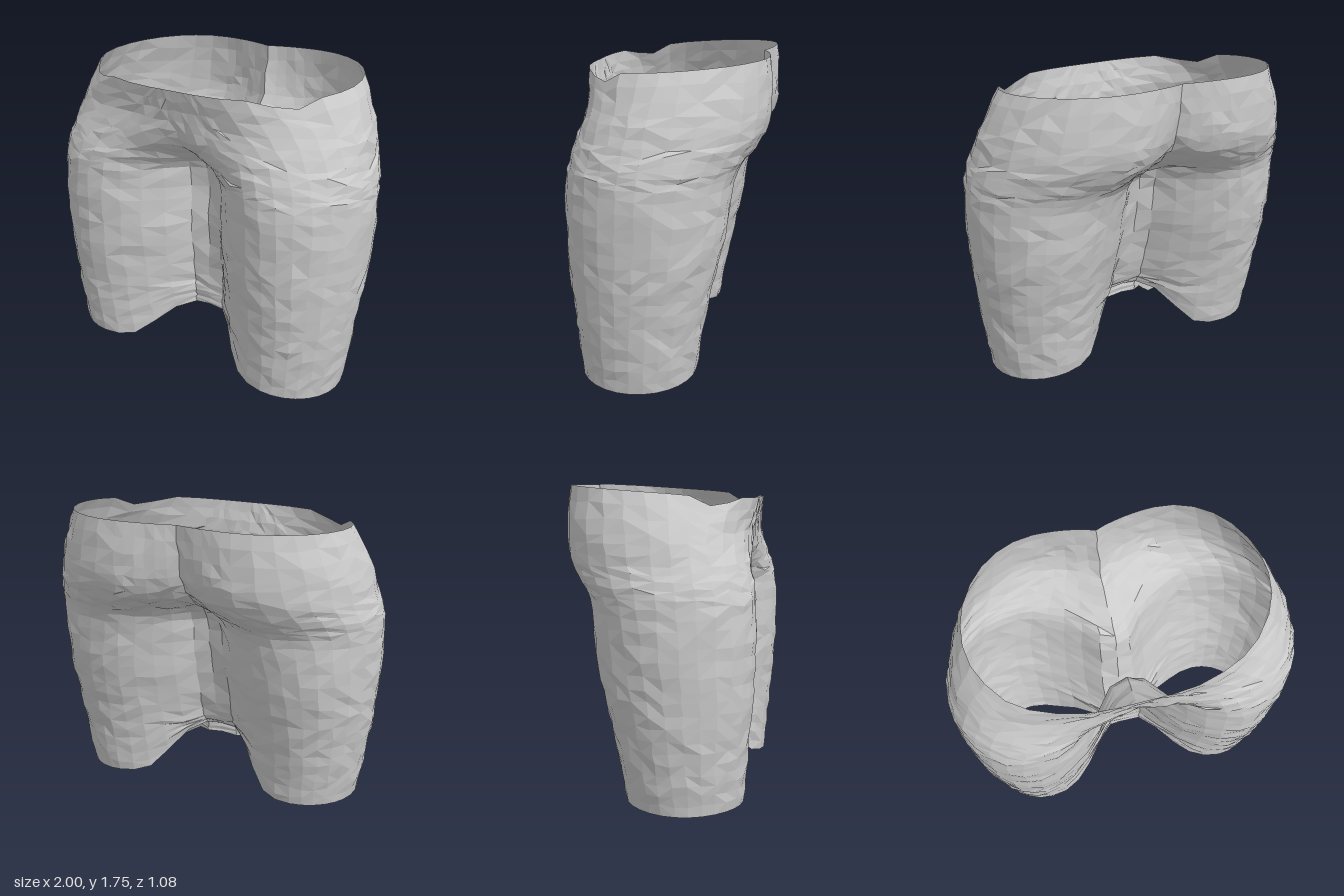
import * as THREE from 'three';

// Per height: y, outer x, outer z, then thigh apex x, apex z and centre z for the front and the back, and web width share
const levels = [
  [0, .88, .15, .57, .47, .15, .57, -.17, .13, .24],
  [.4, .94, .13, .6, .5, .15, .58, -.23, .09, .2],
  [.8, .985, .1, .6, .53, .15, .57, -.32, -.01, .14],
  [1.15, .995, .08, .58, .525, .16, .5, -.375, -.1, .14],
  [1.24, .985, .07, .55, .51, .24, .44, -.435, -.24, .1],
  [1.35, .95, .05, .5, .48, .4, .36, -.515, -.37, .03],
  [1.5, .91, .03, .3, .455, .455, .34, -.54, -.44, 0],
  [1.71, .81, -.02, .15, .485, .485, .33, -.525, -.47, 0],
];
const rowsBetween = [6, 6, 5, 3, 3, 3, 3];
const INNER = 6, OUTER = 7;
const { smoothstep, clamp } = THREE.MathUtils;

// Quarter outline: a rounded wall from the web to the apex, then an elliptic arc to the outer side
function quarter(outerX, outerZ, apexX, apexZ, centreZ, web) {
  const points = [];
  for (let i = 0; i < INNER; i++) {
    const s = i / INNER;
    const u = clamp((s - web) / (1 - web), 0, 1);
    points.push([apexX * s, centreZ + (apexZ - centreZ) * Math.sin(u * Math.PI / 2) ** 0.8]);
  }
  for (let i = 0; i <= OUTER; i++) {
    const a = (i / OUTER) * Math.PI / 2;
    points.push([apexX + (outerX - apexX) * Math.sin(a), outerZ + (apexZ - outerZ) * Math.cos(a)]);
  }
  return points;
}

// Closed ring, mirrored to the right side
function makeRing([y, outerX, outerZ, fx, fz, fc, bx, bz, bc, web], k) {
  const front = quarter(outerX, outerZ, fx, fz, fc, web);
  const back = quarter(outerX, outerZ, bx, bz, bc, web).reverse().slice(1);
  const left = front.concat(back).map(([x, z], i) => {
    const isFront = i < front.length;
    let h = y;
    // Hem arches up between the legs
    if (k === 0) h = (outerX - x) * 0.1 + (isFront ? 0.18 : 0.25) * (1 - smoothstep(x, 0.12, 0.43));
    // Waist rises to the back and has a notch above each thigh
    if (k === levels.length - 1) {
      h -= z * 0.07;
      if (isFront) h -= 0.07 * Math.max(0, 1 - Math.abs(x - 0.63) / 0.12);
    }
    return new THREE.Vector3(x, h, z);
  });
  // The right leg ends slightly higher
  const lift = k === 0 ? 0.05 : 0;
  const right = left.slice(1, -1).reverse()
    .map(p => new THREE.Vector3(-p.x, p.y + lift * smoothstep(p.x, 0.3, 0.9), p.z));
  return left.concat(right);
}

function seeded(seed) {
  return () => {
    seed = (seed * 16807) % 2147483647;
    return seed / 2147483647 - 0.5;
  };
}

// Loft through the rings, with slightly irregular facets
function loftBody() {
  const rings = levels.map(makeRing);
  const cols = rings[0].length;
  const columns = rings[0].map((_, i) => new THREE.CatmullRomCurve3(rings.map(r => r[i])));
  const steps = rowsBetween.flatMap((n, k) => Array.from({ length: n }, (_, j) => (k + j / n) / rowsBetween.length));
  steps.push(1);
  const rand = seeded(77);
  const positions = [], index = [];
  for (const t of steps) {
    const jitter = t > 0 && t < 1 ? 1 : 0;
    for (const column of columns) {
      const p = column.getPoint(t);
      positions.push(p.x + rand() * 0.012 * jitter, p.y + rand() * 0.02 * jitter, p.z + rand() * 0.012 * jitter);
    }
  }
  for (let r = 0; r < steps.length - 1; r++) {
    for (let c = 0; c < cols; c++) {
      const a = r * cols + c, b = r * cols + (c + 1) % cols;
      const d = a + cols, e = b + cols;
      if (rand() > 0) index.push(a, b, e, a, e, d);
      else index.push(a, b, d, b, e, d);
    }
  }
  const geometry = new THREE.BufferGeometry();
  geometry.setAttribute('position', new THREE.Float32BufferAttribute(positions, 3));
  geometry.setIndex(index);
  geometry.computeVertexNormals();
  return geometry;
}

export function createModel() {
  const model = new THREE.Group();
  model.name = 'hipsAndThighs';

  // Thin open shell: waist, buttocks and both thighs
  const shell = new THREE.Mesh(
    loftBody(),
    new THREE.MeshStandardMaterial({ color: 0xcccccc, flatShading: true, side: THREE.DoubleSide })
  );
  shell.name = 'bodyShell';
  model.add(shell);
  return model;
}
